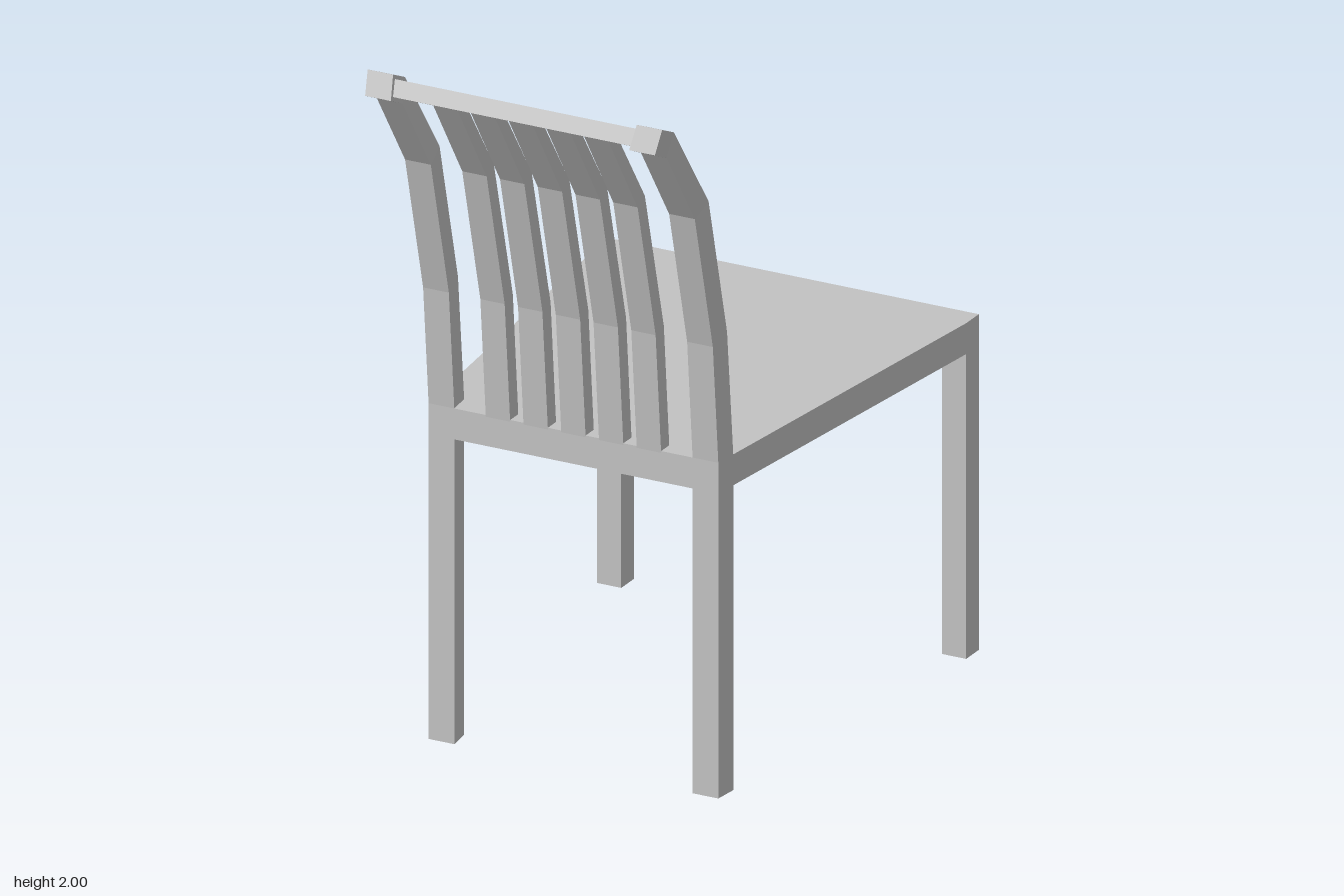
import * as THREE from 'three';

const grey = new THREE.MeshStandardMaterial({ color: 0xc2c2c2 });
grey.name = 'lightGrey';

// Four-sided bar through paired [z, y] profile points; x ranges are given per side
function bar(name, seatSide, outside, seatX, outX = seatX) {
  const rings = seatSide.map(([z, y], i) => {
    const [oz, oy] = outside[i];
    return [[seatX[0], y, z], [seatX[1], y, z], [outX[1], oy, oz], [outX[0], oy, oz]];
  });
  const pos = [];
  const quad = (a, b, c, d) => [a, b, c, a, c, d].forEach(p => pos.push(...p));
  for (let r = 0; r < rings.length - 1; r++) {
    for (let i = 0; i < 4; i++) {
      const j = (i + 1) % 4;
      quad(rings[r][i], rings[r + 1][i], rings[r + 1][j], rings[r][j]);
    }
  }
  quad(...rings[0]);
  quad(...rings[rings.length - 1].slice().reverse());
  const geo = new THREE.BufferGeometry();
  geo.setAttribute('position', new THREE.Float32BufferAttribute(pos, 3));
  geo.computeVertexNormals();
  const mesh = new THREE.Mesh(geo, grey);
  mesh.name = name;
  return mesh;
}

export function createModel() {
  const chair = new THREE.Group();
  chair.name = 'chair';

  // Tapered seat slab
  const outline = [[-0.545, -0.78], [-0.545, -0.71], [-0.435, 0.363], [-0.428, 0.432],
    [0.428, 0.432], [0.435, 0.363], [0.545, -0.71], [0.545, -0.78]];
  const shape = new THREE.Shape(outline.map(([x, z]) => new THREE.Vector2(x, -z)));
  const seatGeo = new THREE.ExtrudeGeometry(shape, { depth: 0.087, bevelEnabled: false });
  seatGeo.rotateX(-Math.PI / 2).translate(0, 0.858, 0);
  const seat = new THREE.Mesh(seatGeo, grey);
  seat.name = 'seat';
  chair.add(seat);

  // Curved posts run from the floor to the top; their section follows the seat taper
  const postIn = [[0.363, 0], [0.363, 0.945], [0.397, 1.302], [0.498, 1.706], [0.688, 1.97], [0.753, 2]];
  const postOut = [[0.432, 0], [0.432, 0.945], [0.462, 1.282], [0.561, 1.678], [0.715, 1.906], [0.78, 1.937]];
  for (const [side, s] of [['left', 1], ['right', -1]]) {
    const range = (a, b) => (s > 0 ? [a, b] : [-b, -a]);
    chair.add(bar(side + 'BackPost', postIn, postOut, range(0.36, 0.435), range(0.352, 0.428)));

    // Straight leg under the wide end of the seat
    const leg = new THREE.Mesh(new THREE.BoxGeometry(0.071, 0.87, 0.07), grey);
    leg.position.set(s * 0.5095, 0.435, -0.745);
    leg.name = side + 'SeatLeg';
    chair.add(leg);
  }

  // Top rail between the posts
  chair.add(bar('topRail',
    [[0.7, 1.962], [0.745, 1.985]],
    [[0.722, 1.922], [0.766, 1.943]], [-0.362, 0.362]));

  // Five bent slats
  const slatIn = [[0.387, 0.94], [0.417, 1.292], [0.521, 1.696], [0.7, 1.958]];
  const slatOut = [[0.432, 0.94], [0.462, 1.282], [0.561, 1.678], [0.722, 1.924]];
  for (let i = -2; i <= 2; i++) {
    const x = i * 0.1115;
    chair.add(bar('slat' + (i + 3), slatIn, slatOut, [x - 0.036, x + 0.036]));
  }
  return chair;
}
